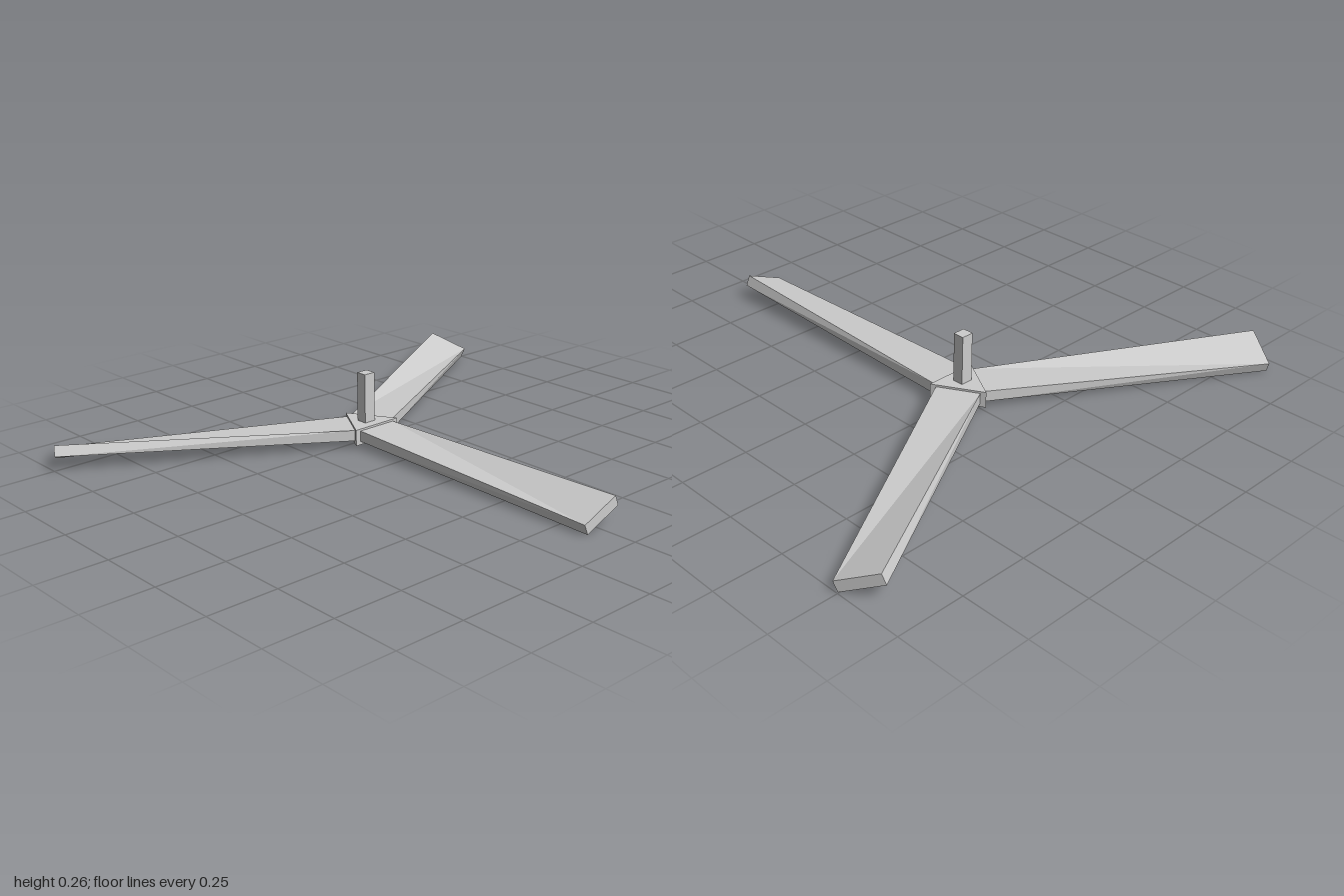
import * as THREE from 'three';

const HUB_Z = -0.247;
const INNER = 0.0575; // hub centre to its flat faces
const OUTER = 1.112; // hub centre to blade tips
const TWIST = THREE.MathUtils.degToRad(22);

// Flat bar along +z, level at the root and twisted at the tip
function bladeGeometry() {
  const length = OUTER - INNER;
  const geometry = new THREE.BoxGeometry(0.157, 0.04, length);
  const p = geometry.attributes.position;
  const axis = new THREE.Vector3(0, 0, 1);
  const v = new THREE.Vector3();
  for (let i = 0; i < p.count; i++) {
    v.fromBufferAttribute(p, i);
    if (v.z > 0) v.applyAxisAngle(axis, TWIST);
    p.setXYZ(i, v.x, v.y, v.z);
  }
  geometry.translate(0, 0, INNER + length / 2);
  geometry.computeVertexNormals();
  return geometry;
}

export function createModel() {
  const model = new THREE.Group();
  model.name = 'propeller';
  const material = new THREE.MeshStandardMaterial({ color: 0xcccccc, flatShading: true });

  const add = (name, geometry, y) => {
    const mesh = new THREE.Mesh(geometry, material);
    mesh.name = name;
    mesh.position.set(0, y, HUB_Z);
    model.add(mesh);
    return mesh;
  };

  // Triangular hub, one corner pointing back
  add('hub', new THREE.CylinderGeometry(0.115, 0.115, 0.06, 3), 0.045).rotation.y = Math.PI;

  // Square drive shaft standing on the hub
  add('shaft', new THREE.BoxGeometry(0.046, 0.185, 0.042), 0.1665);

  // One blade on each face of the hub
  const blade = bladeGeometry();
  ['frontBlade', 'leftBlade', 'rightBlade'].forEach((name, i) => {
    add(name, blade, 0.0475).rotation.y = (i * Math.PI * 2) / 3;
  });

  return model;
}
